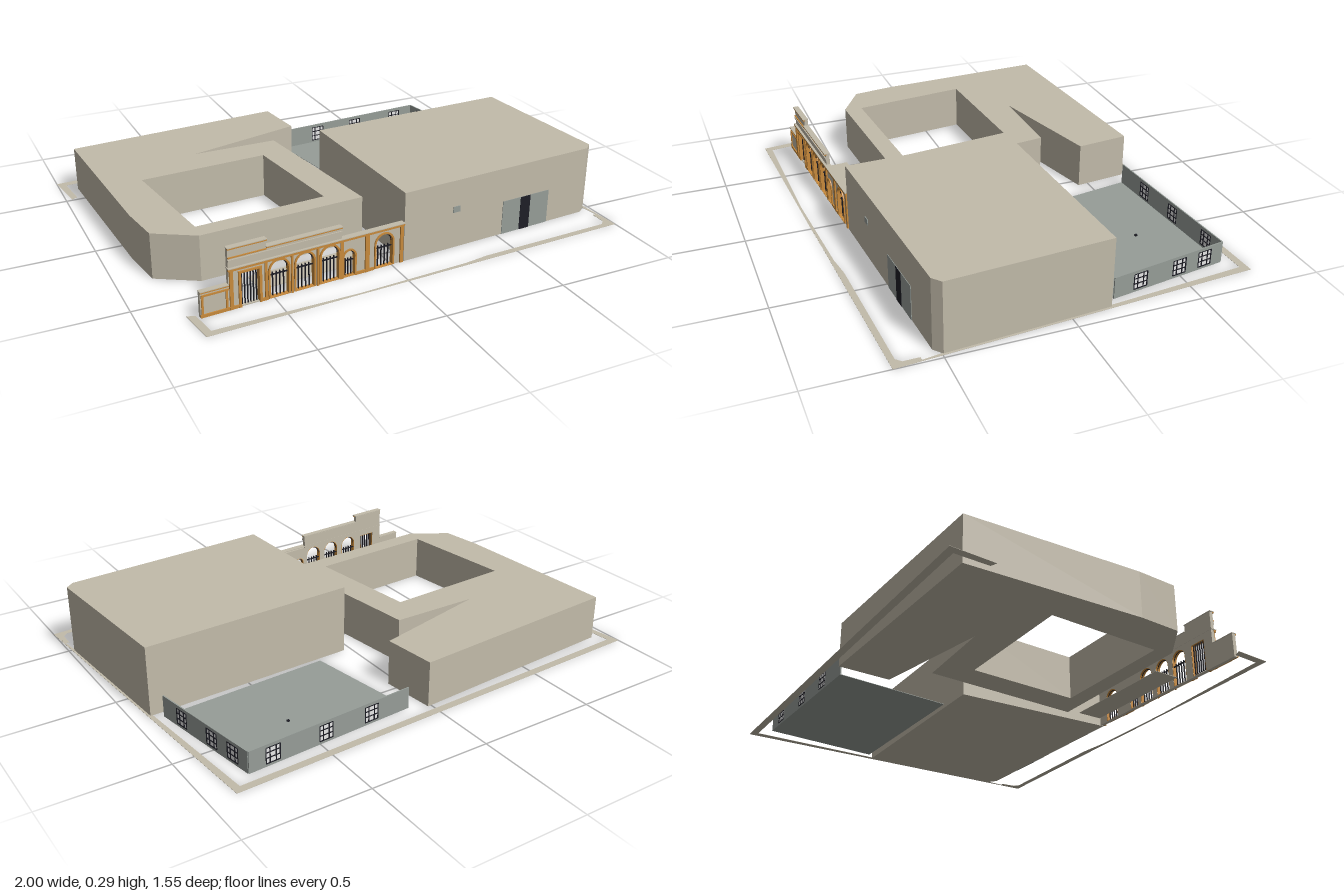
import * as THREE from 'three';

const mat = (name, color) => {
  const m = new THREE.MeshStandardMaterial({ color });
  m.name = name;
  return m;
};

export function createModel() {
  const root = new THREE.Group();
  root.name = 'buildingComplex';
  const beige = mat('beige render', 0xc2bbaa);
  const slate = mat('blue grey', 0x969d98);
  const ochre = mat('ochre trim', 0xc88a3c);
  const dark = mat('dark frame', 0x1e1e26);
  const white = mat('white pane', 0xffffff);

  const add = (parent, name, geo, material) => {
    const m = new THREE.Mesh(geo, material);
    m.name = name;
    parent.add(m);
    return m;
  };
  // box given by its x, y and z ranges
  const box = (parent, name, material, x0, x1, y0, y1, z0, z1) => {
    const m = add(parent, name, new THREE.BoxGeometry(x1 - x0, y1 - y0, z1 - z0), material);
    m.position.set((x0 + x1) / 2, (y0 + y1) / 2, (z0 + z1) / 2);
    return m;
  };
  // plan outline of [x, z] points raised from the ground, wound so that holes face inwards
  const plan = (name, material, pts, height, hole) => {
    const v = (l) => l.map(([x, z]) => new THREE.Vector2(x, -z));
    const outer = v(pts);
    if (THREE.ShapeUtils.isClockWise(outer)) outer.reverse();
    const s = new THREE.Shape(outer);
    if (hole) s.holes.push(new THREE.Path(v(hole)));
    const g = new THREE.ExtrudeGeometry(s, { depth: height, bevelEnabled: false });
    return add(root, name, g.rotateX(-Math.PI / 2), material);
  };
  const extrude = (shape, z0, z1) =>
    new THREE.ExtrudeGeometry(shape, { depth: z1 - z0, bevelEnabled: false, curveSegments: 10 }).translate(0, 0, z0);
  const rect = (C, x0, x1, y0, y1) =>
    new C([[x0, y0], [x1, y0], [x1, y1], [x0, y1]].map(([x, y]) => new THREE.Vector2(x, y)));
  // round-headed opening
  const arch = (C, cx, w, top, y0) => {
    const p = new C(), r = w / 2;
    p.moveTo(cx - r, y0);
    p.lineTo(cx + r, y0);
    p.lineTo(cx + r, top - r);
    p.absarc(cx, top - r, r, 0, Math.PI, false);
    p.closePath();
    return p;
  };

  // --- main blocks ---
  plan('hall', beige, [[0.03, -0.125], [0.93, -0.165], [0.978, 0.495], [0.943, 0.525], [0.055, 0.587]], 0.29);
  plan('courtyardBuilding', beige,
    [[-0.925, -0.61], [0.015, -0.68], [0.04, -0.455], [-0.47, -0.33], [-0.1, -0.33], [-0.01, 0.36],
      [-0.7, 0.4], [-0.86, 0.305], [-0.885, 0.13]], 0.19,
    [[-0.75, -0.165], [-0.205, -0.195], [-0.145, 0.29], [-0.69, 0.325]]);
  plan('terrace', beige, [[-0.535, 0.445], [-0.025, 0.41], [-0.015, 0.52], [-0.525, 0.555]], 0.002);

  // --- boundary strips ---
  plan('backBoundary', beige,
    [[-1, -0.693], [0.895, -0.777], [1, 0.682], [0.975, 0.5], [0.92, -0.17], [0.866, -0.745],
      [-0.965, -0.663], [-0.95, -0.52], [-0.975, -0.508]], 0.001);
  plan('frontBoundary', beige,
    [[0.985, 0.575], [1, 0.682], [-0.81, 0.77], [-0.832, 0.615], [-0.8, 0.625], [-0.783, 0.74],
      [0.1, 0.728], [0.37, 0.687], [0.95, 0.66], [0.97, 0.64], [0.97, 0.575]], 0.001);

  // --- yard with two thin windowed walls ---
  plan('yardFloor', slate, [[0.085, -0.645], [0.805, -0.697], [0.886, -0.196], [0.165, -0.15]], 0.002);
  box(root, 'yardDrain', dark, 0.513, 0.523, 0.002, 0.008, -0.487, -0.478);

  const yardWall = (name, [px, pz], [qx, qz], stops) => {
    const g = new THREE.Group();
    g.name = name;
    g.position.set(px, 0, pz);
    g.rotation.y = Math.atan2(pz - qz, qx - px);
    root.add(g);
    const len = Math.hypot(qx - px, qz - pz);
    const wall = rect(THREE.Shape, 0, len, 0, 0.09);
    for (const t of stops) {
      const c = t * len, a = c - 0.03, b = c + 0.03, y0 = 0.012, y1 = 0.076;
      wall.holes.push(rect(THREE.Path, a, b, y0, y1));
      box(g, 'yardPane', white, a, b, y0, y1, -0.001, 0.001);
      for (const x of [a, a + 0.017, b - 0.017, b])
        box(g, 'windowBar', dark, x - 0.0018, x + 0.0018, y0, y1, -0.004, 0.004);
      for (const y of [y0, 0.034, 0.056, y1])
        box(g, 'windowBar', dark, a, b, y - 0.0015, y + 0.0015, -0.004, 0.004);
    }
    add(g, 'yardWallPanel', extrude(wall, -0.0025, 0.0025), slate);
  };
  yardWall('yardBackWall', [0.085, -0.645], [0.805, -0.697], [0.25, 0.54, 0.86]);
  yardWall('yardSideWall', [0.886, -0.194], [0.805, -0.695], [0.235, 0.595, 0.835]);

  // --- hall entrance, laid along the slanted front ---
  const entrance = new THREE.Group();
  entrance.name = 'hallEntrance';
  entrance.position.set(0, 0, 0.591);
  entrance.rotation.y = Math.atan2(0.062, 0.888);
  root.add(entrance);
  box(entrance, 'entrancePanel', slate, 0.525, 0.757, 0, 0.145, -0.002, 0.002);
  box(entrance, 'entranceDoor', dark, 0.613, 0.662, 0, 0.145, -0.002, 0.0035);
  box(entrance, 'smallWindow', slate, 0.28, 0.312, 0.154, 0.179, -0.002, 0.003);

  // --- ornamental street front ---
  const front = new THREE.Group();
  front.name = 'arcadeFront';
  front.position.set(0, 0, 0.589);
  front.rotation.y = Math.atan2(0.06, 0.845);
  root.add(front);
  const wall = new THREE.Shape([[-0.79, 0], [0.052, 0], [0.052, 0.16], [-0.22, 0.16], [-0.22, 0.215],
    [-0.53, 0.215], [-0.53, 0.245], [-0.68, 0.245], [-0.68, 0.1], [-0.79, 0.1]]
    .map(([x, y]) => new THREE.Vector2(x, y)));

  // open arches with ochre reveals: centre, width, top, number of bars
  const arches = [[-0.48, 0.074, 0.15, 4], [-0.375, 0.074, 0.15, 4], [-0.27, 0.074, 0.15, 4],
    [-0.187, 0.046, 0.11, 3], [-0.034, 0.074, 0.14, 4]];
  for (const [cx, w, top, n] of arches) {
    const r = w / 2, spring = top - r;
    wall.holes.push(arch(THREE.Path, cx, w + 0.004, top + 0.002, 0.003));
    const rim = arch(THREE.Shape, cx, w + 0.014, top + 0.007, 0.002);
    rim.holes.push(arch(THREE.Path, cx, w, top, 0.004));
    add(front, 'archSurround', extrude(rim, -0.0155, 0.005), ochre);
    for (let i = 0; i < n; i++) {
      const x = cx + ((i + 0.5) / n - 0.5) * w * 0.8;
      box(front, 'archBar', dark, x - 0.0018, x + 0.0018, 0.004, spring - 0.012, -0.012, -0.007);
    }
    box(front, 'archTransom', dark, cx - r, cx + r, spring - 0.024, spring - 0.02, -0.012, -0.007);
    const fan = add(front, 'archFan', new THREE.TorusGeometry(r - 0.002, 0.002, 4, 12, Math.PI), dark);
    fan.position.set(cx, spring, -0.008);
  }

  // square-headed barred window in the tall bay
  wall.holes.push(rect(THREE.Path, -0.634, -0.558, 0.004, 0.14));
  for (let i = 0; i < 6; i++) {
    const x = -0.625 + i * 0.0116;
    box(front, 'tallBar', dark, x - 0.0018, x + 0.0018, 0.004, 0.138, -0.012, -0.007);
  }
  for (const x of [-0.637, -0.555]) box(front, 'tallSurround', ochre, x - 0.005, x + 0.005, 0, 0.145, -0.0155, 0.006);
  box(front, 'tallLintel', ochre, -0.642, -0.55, 0.138, 0.146, -0.0155, 0.006);
  add(front, 'arcadeWall', extrude(wall, -0.016, 0), beige);

  // pilasters: centre and half width
  for (const [x, h] of [[-0.67, 0.007], [-0.533, 0.005], [-0.428, 0.004], [-0.322, 0.004], [-0.22, 0.006],
    [-0.11, 0.009], [0.043, 0.007]])
    box(front, 'pilaster', ochre, x - h, x + h, 0, 0.156, -0.002, 0.006);

  // ochre mouldings on the street side, each under a beige capping
  const cornice = (name, x0, x1, y0, y1, out) => {
    box(front, name, ochre, x0, x1, y0, y1, -0.002, out);
    box(front, name + 'Cap', beige, x0 - 0.001, x1 + 0.001, y1, y1 + 0.003, -0.017, out + 0.001);
  };
  cornice('mainCornice', -0.682, 0.053, 0.156, 0.165, 0.009);
  cornice('middleCoping', -0.53, -0.219, 0.211, 0.216, 0.006);
  cornice('tallCoping', -0.682, -0.528, 0.241, 0.246, 0.006);
  cornice('sideCoping', -0.79, -0.68, 0.096, 0.101, 0.004);
  box(front, 'parapetBand', beige, -0.68, -0.22, 0.193, 0.2, -0.002, 0.005);
  box(front, 'tallBand', ochre, -0.68, -0.53, 0.206, 0.21, -0.002, 0.005);
  for (const [a, b] of [[-0.79, -0.642], [-0.55, -0.525], [-0.16, -0.08]])
    box(front, 'plinth', ochre, a, b, 0, 0.012, -0.002, 0.005);

  // framed low side wall
  box(front, 'sideRail', ochre, -0.785, -0.68, 0.082, 0.089, -0.002, 0.004);
  for (const x of [-0.782, -0.688]) box(front, 'sideFrame', ochre, x - 0.004, x + 0.004, 0, 0.088, -0.002, 0.004);

  return root;
}
